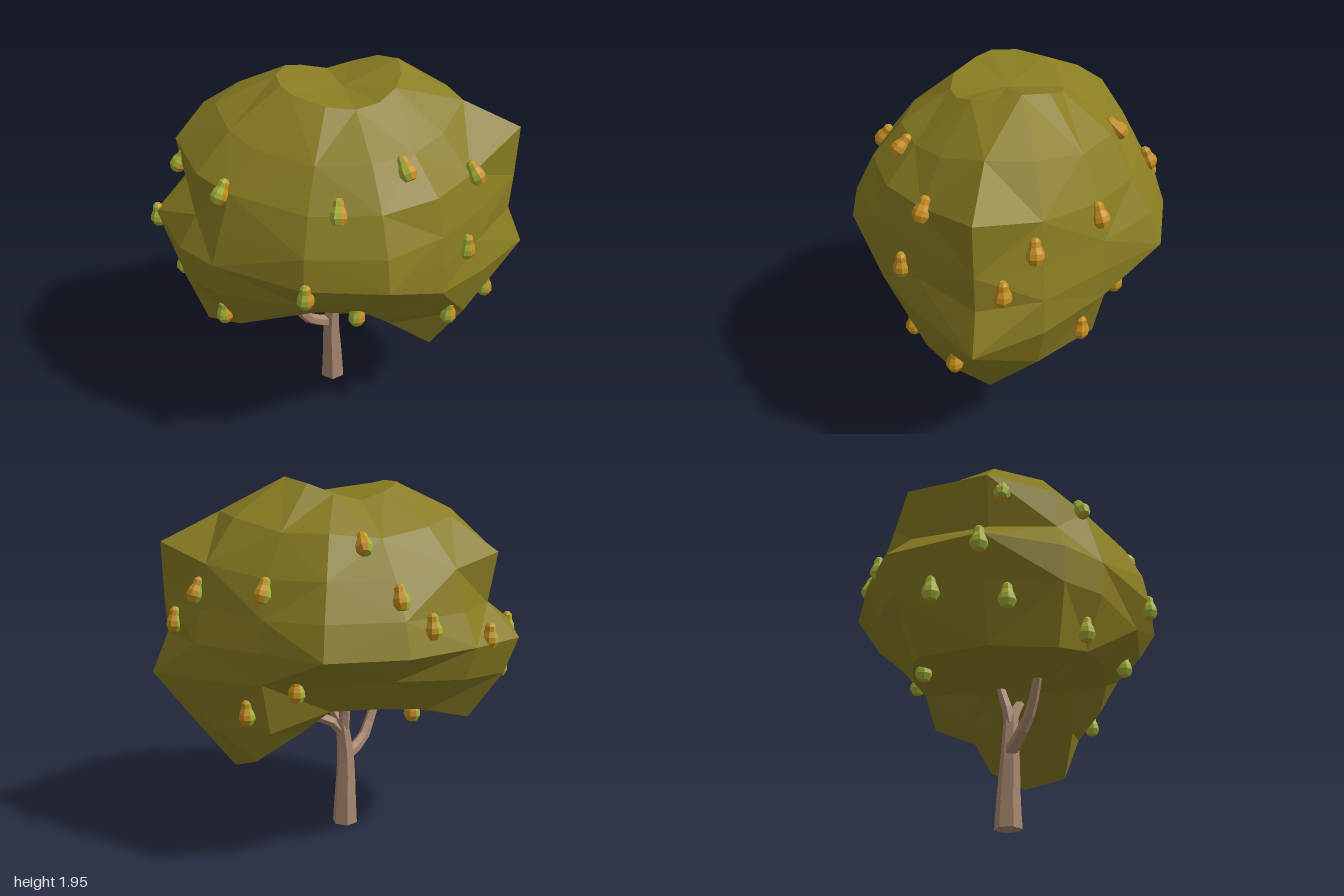
import * as THREE from 'three';

const mat = (name, color) => Object.assign(new THREE.MeshStandardMaterial({ color, flatShading: true }), { name });

// Canopy: distances from its heart, one row per elevation, one column per azimuth
const HEART = new THREE.Vector3(0, 1.15, 0);
const AZIMUTHS = [0, 25, 48, 74, 103, 139, 155, 180, 210, 230, 258, 286, 311, 339];
const RINGS = [
  [68, [.82, .80, .76, .75, .77, .80, .82, .82, .81, .78, .74, .78, .83, .86]],
  [45, [.88, .78, .74, .75, .74, .76, .82, .87, .85, .80, .74, .78, .78, .86]],
  [27, [1.04, .79, .77, .77, .75, .78, .85, .93, .95, .82, .76, .76, .75, .86]],
  [12, [.94, .77, .75, .80, .77, .78, .80, .78, .82, .80, .80, .80, .74, .82]],
  [0, [.91, .77, .75, .82, .78, .82, .88, .97, .97, .86, .84, .85, .75, .84]],
  [-12, [1.02, .83, .77, .74, .72, .82, .88, .90, .92, .82, .70, .70, .76, .87]],
  [-32, [.93, .86, .72, .62, .60, .80, .90, .90, .85, .69, .62, .62, .80, .87]],
  [-53, [.96, .92, .68, .48, .46, .55, .56, .56, .54, .50, .45, .45, .63, .86]],
  [-63, [.62, .56, .50, .43, .42, .45, .46, .46, .45, .43, .41, .41, .46, .58]],
];

function canopyGeometry() {
  const n = AZIMUTHS.length, pos = [], idx = [];
  for (const [elev, radii] of RINGS) {
    const e = THREE.MathUtils.degToRad(elev);
    radii.forEach((r, j) => {
      const a = THREE.MathUtils.degToRad(AZIMUTHS[j]);
      pos.push(r * Math.cos(e) * Math.cos(a), HEART.y + r * Math.sin(e), r * Math.cos(e) * Math.sin(a));
    });
  }
  const top = pos.length / 3, bottom = top + 1, last = (RINGS.length - 1) * n;
  pos.push(0.02, 1.85, 0, -0.02, 0.76, 0);
  for (let j = 0; j < n; j++) {
    const k = (j + 1) % n;
    idx.push(top, k, j, bottom, last + j, last + k);
    for (let i = 0; i < last; i += n) {
      const a = i + j, d = i + k, b = a + n, c = d + n;
      // alternate the diagonals for an irregular faceted look
      if ((i / n + j) % 2) idx.push(b, a, c, a, d, c);
      else idx.push(b, a, d, b, d, c);
    }
  }
  const g = new THREE.BufferGeometry();
  g.setAttribute('position', new THREE.Float32BufferAttribute(pos, 3));
  g.setIndex(idx);
  g.computeVertexNormals();
  return g;
}

// Six-sided limb along a curve, narrowing from r0 to r1
function limb(name, points, r0, r1, material) {
  const curve = new THREE.CatmullRomCurve3(points.map(p => new THREE.Vector3(...p)));
  const steps = 7, sides = 6;
  const g = new THREE.TubeGeometry(curve, steps, 1, sides);
  const p = g.attributes.position, v = new THREE.Vector3();
  for (let i = 0; i < p.count; i++) {
    const t = Math.floor(i / (sides + 1)) / steps, c = curve.getPointAt(t);
    v.fromBufferAttribute(p, i).sub(c).multiplyScalar(THREE.MathUtils.lerp(r0, r1, t)).add(c);
    p.setXYZ(i, v.x, Math.max(0, v.y), v.z);
  }
  g.computeVertexNormals();
  const m = new THREE.Mesh(g, material);
  m.name = name;
  return m;
}

// Pear positions, later snapped to the foliage
const PEARS = [
  [-.79, 1.48, .07], [-.55, 1.5, .43], [-.01, 1.52, .66], [.3, 1.63, .46], [.65, 1.51, .28],
  [.61, 1.17, .4], [-.17, 1.12, .78], [-.96, 1.12, -.01], [-.82, .89, .1], [-.57, .82, .43],
  [.08, .91, .6], [.56, .76, .39], [.78, .75, .13], [.86, 1.24, -.12], [.73, 1.4, -.24],
  [.46, 1.44, -.51], [-.15, 1.42, -.71], [-.01, 1.67, -.56], [-.31, 1.28, -.73],
  [-.69, 1.19, -.61], [-.8, .96, -.25], [.6, .8, -.5], [-.32, .76, -.43], [.33, .97, -.61],
];

export function createModel() {
  const leaf = mat('olive leaves', 0x8a7d22), bark = mat('brown bark', 0xa8876e);
  const green = mat('pear green', 0xa4b136), amber = mat('pear amber', 0xc48e1e);
  const tree = new THREE.Group();
  tree.name = 'pearTree';

  const canopy = new THREE.Mesh(canopyGeometry(), leaf);
  canopy.name = 'canopy';
  tree.add(canopy);

  // Trunk, its underside and the branches
  tree.add(
    limb('trunk', [[-.035, 0, -.01], [-.036, .12, -.01], [-.04, .4, 0], [-.015, .62, 0]], .072, .036, bark),
    limb('middleBranch', [[-.025, .56, 0], [-.03, .66, -.02], [-.01, .76, -.05], [.0, .88, -.06]], .036, .02, bark),
    limb('innerBranch', [[-.02, .57, 0], [.03, .66, .02], [.11, .74, .04], [.2, .82, .05]], .034, .018, bark),
    limb('longBranch', [[-.02, .54, 0], [.05, .61, 0], [.16, .635, 0], [.3, .62, 0], [.48, .56, 0]], .034, .014, bark),
    limb('leftBranch', [[-.05, .4, 0], [-.15, .46, .07], [-.21, .56, .13], [-.28, .74, .18], [-.31, .84, .2]], .036, .018, bark),
  );
  const base = new THREE.Mesh(new THREE.CircleGeometry(.07, 6), bark);
  base.name = 'trunkBase';
  base.rotation.x = Math.PI / 2;
  base.position.set(-.035, 0, -.01);
  tree.add(base);

  // Pears: one amber half and one green half each
  const profile = [[0, -.062], [.028, -.06], [.044, -.03], [.041, -.004], [.028, .024], [.026, .05], [.014, .064], [0, .066]]
    .map(p => new THREE.Vector2(...p));
  const split = 0.3;
  const amberHalf = new THREE.LatheGeometry(profile, 4, split, Math.PI);
  const greenHalf = new THREE.LatheGeometry(profile, 4, split + Math.PI, Math.PI);
  const ray = new THREE.Raycaster(), up = new THREE.Vector3(0, 1, 0);
  canopy.updateMatrixWorld();
  for (const p of PEARS) {
    const spot = new THREE.Vector3(...p), out = spot.clone().sub(HEART).normalize();
    ray.set(HEART.clone().addScaledVector(out, 3), out.clone().negate());
    const hit = ray.intersectObject(canopy)[0];
    if (hit) spot.copy(hit.point).addScaledVector(out, .01);
    const pear = new THREE.Group();
    pear.name = 'pear';
    for (const [name, g, m] of [['amberHalf', amberHalf, amber], ['greenHalf', greenHalf, green]]) {
      const half = new THREE.Mesh(g, m);
      half.name = name;
      pear.add(half);
    }
    // pears high on the crown lean back against the slope
    const tilt = Math.max(0, (p[1] - 1.2) * 1.7), flat = Math.hypot(p[0], p[2]);
    const axis = new THREE.Vector3(-p[0] / flat * Math.sin(tilt), Math.cos(tilt), -p[2] / flat * Math.sin(tilt));
    pear.quaternion.setFromUnitVectors(up, axis);
    pear.position.copy(spot);
    tree.add(pear);
  }
  return tree;
}
